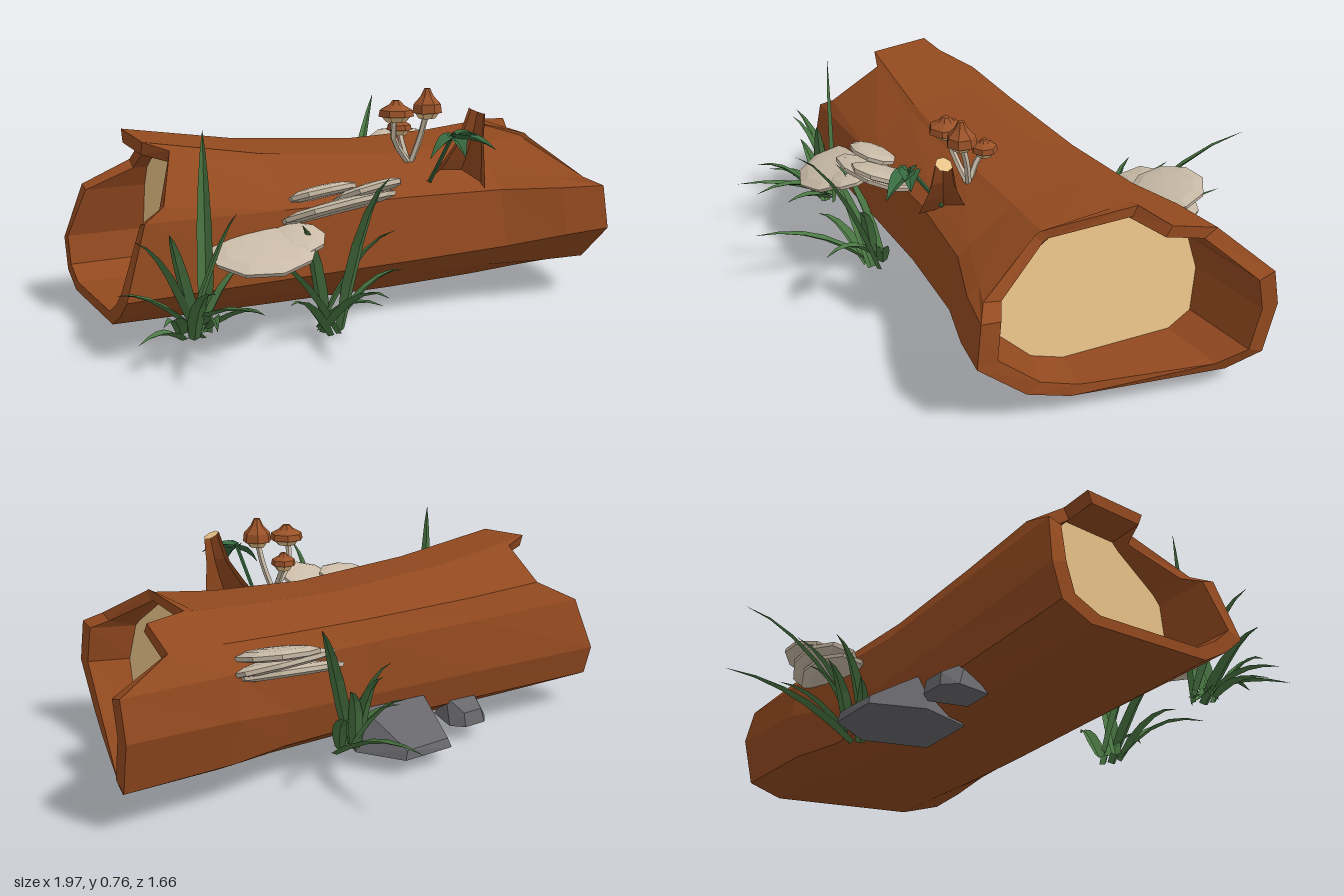
import * as THREE from 'three';
import { ConvexGeometry } from 'three/addons/geometries/ConvexGeometry.js';

const mat = (name, color, side = THREE.FrontSide) =>
  Object.assign(new THREE.MeshStandardMaterial({ color, flatShading: true, side }), { name });
const V = (x, y, z) => new THREE.Vector3(x, y, z);

// flat-shaded geometry from a list of triangle corners
function fromTris(tris) {
  const g = new THREE.BufferGeometry().setFromPoints(tris);
  g.computeVertexNormals();
  return g;
}

// skin between successive rings of points
function loft(rings, closed) {
  const t = [], n = rings[0].length;
  for (let s = 0; s + 1 < rings.length; s++)
    for (let i = 0; i < (closed ? n : n - 1); i++) {
      const j = (i + 1) % n, a = rings[s][i], b = rings[s + 1][i], c = rings[s + 1][j], d = rings[s][j];
      t.push(a, b, d, b, c, d);
    }
  return fromTris(t);
}

export function createModel() {
  const model = new THREE.Group();
  const bark = mat('bark brown', 0x92491f);
  const wood = mat('cut wood tan', 0xe8c288);
  const fungus = mat('fungus beige', 0xc9bba7);
  const capMat = mat('mushroom cap brown', 0x9a5228);
  const stone = mat('stone grey', 0x68686c);
  const grass = mat('grass green', 0x4a7743, THREE.DoubleSide);
  const leafMat = mat('leaf dark green', 0x386a40, THREE.DoubleSide);
  const add = (name, geo, m, parent = model) => {
    const mesh = new THREE.Mesh(geo, m);
    mesh.name = name;
    parent.add(mesh);
    return mesh;
  };
  const group = (name) => {
    const g = new THREE.Group();
    g.name = name;
    model.add(g);
    return g;
  };

  // Log outline, one row per edge: left z,y | middle z,y | right z,y | end x left, right
  const rows = [
    [.20, .09, .20, .075, .20, .09, -.94, .82],
    [.29, .14, .29, .14, .34, .13, -.94, .79],
    [.36, .20, .37, .21, .50, .27, -.94, .77],
    [.34, .43, .33, .42, .48, .42, -.87, .76],
    [.31, .47, .29, .45, .44, .45, -.80, .70],
    [.145, .61, .165, .53, .22, .57, -.72, .62],
    [.12, .64, .15, .54, .20, .58, -.80, .62],
    [-.10, .655, -.11, .56, -.14, .59, -.80, .65],
    [-.125, .63, -.14, .55, -.17, .58, -.71, .79],
    [-.28, .52, -.28, .50, -.34, .53, -.72, .80],
    [-.32, .44, -.32, .43, -.42, .45, -.88, .99],
    [-.36, .25, -.335, .25, -.45, .32, -.94, .99],
    [-.33, .14, -.31, .14, -.41, .15, -.94, .99],
    [-.23, .09, -.21, .075, -.30, .095, -.94, .95],
  ];
  // w < 0 blends to the left outline, w > 0 to the right one
  const ring = (w, x) => rows.map((r) => {
    const k = w < 0 ? 0 : 4, a = Math.abs(w);
    return V(typeof x === 'number' ? x : r[x === 'L' ? 6 : 7],
      r[3] + (r[k + 1] - r[3]) * a, r[2] + (r[k] - r[2]) * a);
  });
  const inset = (pts) => pts.map((p) => V(p.x, .34 + (p.y - .34) * .86, p.z * .86));
  const outL = ring(-1, 'L'), outR = ring(1, 'R'), inL = inset(outL), inR = inset(outR);
  const capL = inL.map((p) => V(-.67, p.y, p.z));
  const capR = inR.map((p) => V(.70 - .1 * p.z - .2 * (p.y - .15), .35 + (p.y - .35) * .97, p.z * .89 - .005));
  add('log', loft([capL, inL, outL, ring(-.35, -.4), ring(0, .05), ring(.27, .4),
    ring(.78, .61), outR, inR, capR], true), bark);

  // Cut wood faces recessed in both ends
  const fan = (pts, flip) => {
    const c = pts.reduce((s, p) => s.add(p), V(0, 0, 0)).divideScalar(pts.length);
    return fromTris(pts.flatMap((p, i) => {
      const q = pts[(i + 1) % pts.length];
      return flip ? [c, q, p] : [c, p, q];
    }));
  };
  add('leftWoodFace', fan(capR, true), wood);
  add('rightWoodFace', fan(capL, false), wood);

  // Broken branch stub with a slanted tan end
  const stub = group('branchStub');
  const stubRing = (x, y, z, r, slant = 0) => Array.from({ length: 7 }, (_, i) => {
    const a = i / 7 * Math.PI * 2;
    return V(x + Math.cos(a) * r, y - Math.cos(a) * r * slant, z + Math.sin(a) * r);
  });
  const stubTop = stubRing(.297, .70, .36, .028, .45);
  add('branchBark', loft([stubTop, stubRing(.277, .6, .355, .045),
    stubRing(.255, .52, .345, .075), stubRing(.23, .44, .33, .11)], true), bark, stub);
  add('branchEnd', fan(stubTop, true), wood, stub);

  // Shelf fungi: x, y, z, radius x, radius z, tilt x, tilt z
  const shelfProfile = [[0, -.015], [.7, -.016], [.97, -.008], [1, .006], [.75, .017], [.4, .022], [0, .024]]
    .map((p) => new THREE.Vector2(...p));
  const shelfGeo = new THREE.LatheGeometry(shelfProfile, 9);
  const shelves = group('shelfFungi');
  [
    [-.52, .325, .42, .17, .15, .28, .10],
    [-.40, .345, .40, .09, .10, .25, .12],
    [-.24, .425, .38, .21, .12, -.36, .12],
    [-.14, .47, .39, .12, .11, -.38, .14],
    [-.29, .475, .36, .12, .075, -.32, .10],
    [.40, .405, -.36, .21, .10, .34, .05],
    [.43, .445, -.38, .19, .11, .34, -.05],
    [.46, .485, -.40, .14, .125, .25, .05],
  ].forEach(([x, y, z, rx, rz, tx, tz]) => {
    const s = add('shelfFungus', shelfGeo, fungus, shelves);
    s.position.set(x, y, z);
    s.scale.set(rx, 1, rz);
    s.rotation.set(tx, 0, tz);
  });

  // Mushrooms: cap x, y, z, radius, height
  const mushrooms = group('mushrooms');
  [[.175, .695, .235, .052, .075], [.055, .69, .23, .062, .045], [.13, .625, .125, .045, .035]]
    .forEach(([x, y, z, r, h]) => {
      const pts = [[r * .55, -.004], [r, -.008], [r * .92, h * .3], [r * .45, h * .65], [r * .2, h], [0, h]]
        .map((p) => new THREE.Vector2(...p));
      add('mushroomCap', new THREE.LatheGeometry(pts, 7), capMat, mushrooms).position.set(x, y, z);
      add('mushroomGills', new THREE.CylinderGeometry(r * .88, r * .55, .024, 7), wood, mushrooms)
        .position.set(x, y - .016, z);
      const path = new THREE.CatmullRomCurve3([V(.135, .5, .19), V(.125 + (x - .13) * .9, (y + .52) / 2, (z + .19) / 2), V(x, y, z)]);
      add('mushroomStem', new THREE.TubeGeometry(path, 5, .011, 5), fungus, mushrooms);
    });

  // Folded blade tapering along a bent path
  function blade(base, mid, tip, width) {
    const curve = new THREE.QuadraticBezierCurve3(base, mid, tip), up = V(0, 1, 0), rings = [];
    for (let i = 0; i <= 5; i++) {
      const t = i / 5, p = curve.getPoint(t), d = curve.getTangent(t);
      const side = d.clone().cross(up).normalize();
      const fold = side.clone().cross(d).normalize();
      const w = width * [.7, 1, .9, .65, .35, .02][i];
      rings.push([p.clone().addScaledVector(side, -w), p.clone().addScaledVector(fold, -w * .6),
        p.clone().addScaledVector(side, w)]);
    }
    return loft(rings, false);
  }

  // Grass clumps: base point, then blade tips
  const clumps = {
    frontOuterGrass: [[-.74, .09, .38], [[-.69, .70, .36], [-.62, .46, .45], [-.93, .40, .42], [-.98, .24, .40],
      [-.90, .18, .57], [-.80, .20, .73], [-.77, .28, .65], [-.65, .22, .70], [-.60, .18, .60], [-.94, .10, .46],
      [-.84, .42, .47], [-.56, .30, .42]]],
    frontInnerGrass: [[-.28, .03, .38], [[-.22, .57, .67], [-.31, .25, .82], [-.41, .40, .46], [-.54, .31, .44],
      [-.10, .36, .50], [-.04, .21, .45], [-.48, .17, .52], [-.20, .15, .60]]],
    backGrass: [[.18, .10, -.36], [[.22, .25, -.84], [.48, .64, -.69], [.07, .30, -.54], [.02, .24, -.44],
      [.20, .42, -.60], [.33, .30, -.60], [.10, .42, -.50], [.27, .36, -.52]]],
  };
  for (const [name, [b, tips]] of Object.entries(clumps)) {
    const g = group(name);
    tips.forEach((tip, i) => {
      const a = i * 2.4, base = V(b[0] + Math.cos(a) * .04, b[1] - .012 + (i % 3) * .012, b[2] + Math.sin(a) * .03);
      const end = V(...tip), mid = base.clone().lerp(end, .45);
      mid.x += Math.sin(i * 1.7) * .03;
      mid.y = Math.max(base.y, end.y) * .7 + .08;
      add('grassBlade', blade(base, mid, end, .025), grass, g);
    });
  }

  // Small leafy sprig beside the branch, leaves drooping from its top
  const sprig = group('leafSprig');
  const root = V(.165, .64, .42);
  [[.25, .595, .54], [.26, .61, .46], [.075, .56, .42], [.16, .57, .50]].forEach(([x, y, z]) => {
    const end = V(x, y, z), mid = root.clone().lerp(end, .5);
    mid.y += .04;
    add('leaf', blade(root, mid, end, .036), leafMat, sprig);
  });
  add('sprigStem', new THREE.TubeGeometry(new THREE.LineCurve3(V(.15, .46, .30), root), 1, .007, 5), leafMat, sprig);

  // Stones wedged under the back
  const hull = (name, pts) => add(name, new ConvexGeometry(pts.map((p) => V(...p))), stone);
  hull('largeStone', [[-.22, .068, -.32], [-.16, .068, -.50], [.04, .068, -.51], [.14, .068, -.36], [.08, .068, -.14],
    [-.16, .068, -.14], [-.15, .10, -.49], [.03, .10, -.505], [-.17, .21, -.31], [.09, .21, -.31]]);
  hull('smallStone', [[-.44, .07, -.34], [-.40, .07, -.385], [-.31, .07, -.39], [-.27, .07, -.35], [-.30, .07, -.22],
    [-.42, .07, -.22], [-.39, .12, -.375], [-.31, .12, -.38], [-.41, .16, -.30], [-.29, .16, -.30]]);

  return model;
}
